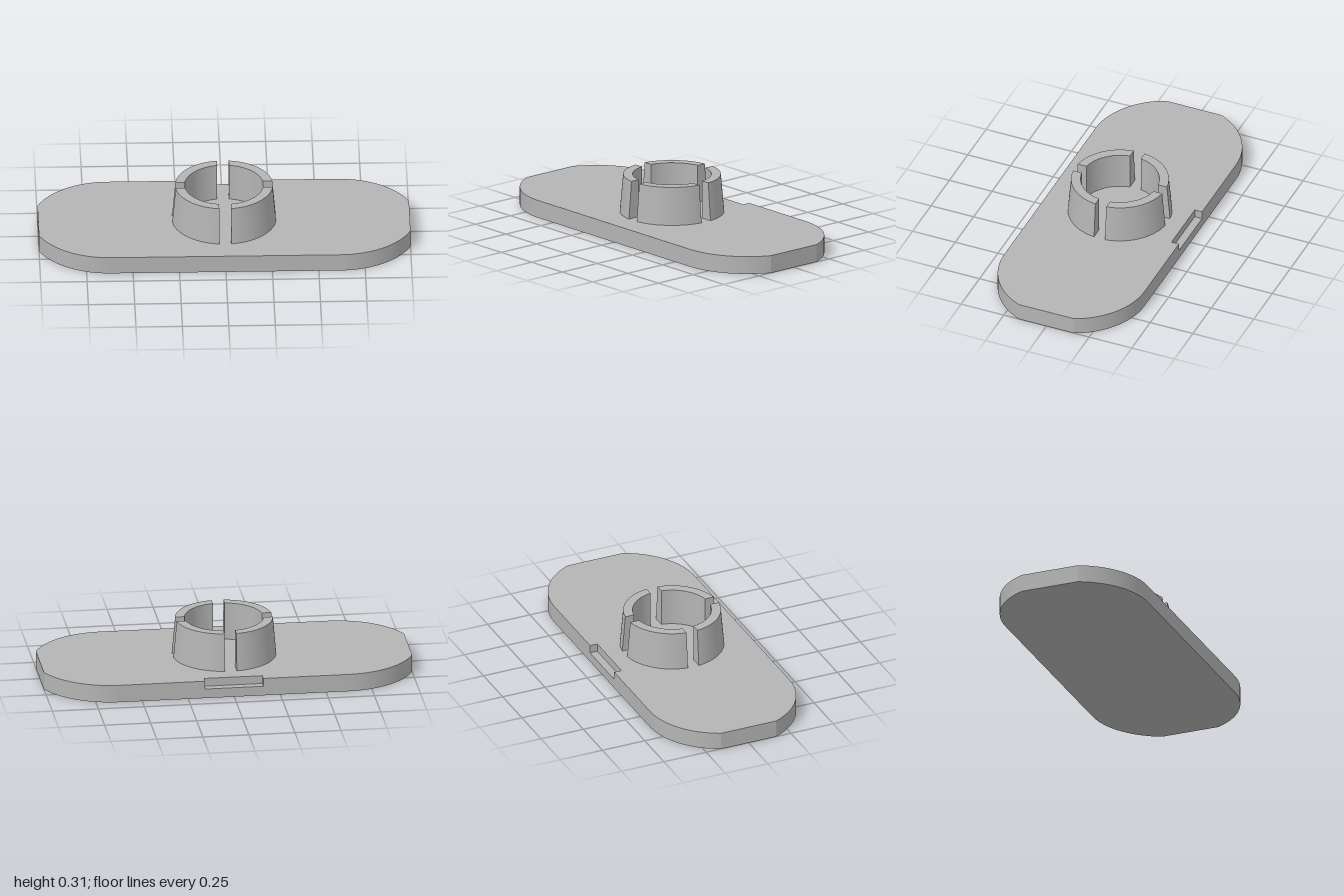
import * as THREE from 'three';
import { toCreasedNormals, mergeGeometries } from 'three/addons/utils/BufferGeometryUtils.js';

const HALF_DEPTH = 0.413, PLATE_TOP = 0.097, NOTCH_FLOOR = 0.052;
const ARC_X = 0.62, END_X = 1;
const RING_TOP = 0.305, INNER = 0.212, OUTER_LOW = 0.281, OUTER_HIGH = 0.263, SLOT = 0.032;

// Extrudes a plan shape upward from y0 to y1 (shape +y becomes -z, the back)
function slab(shape, y0, y1) {
  return new THREE.ExtrudeGeometry(shape, { depth: y1 - y0, bevelEnabled: false, curveSegments: 24 })
    .rotateX(-Math.PI / 2).translate(0, y0, 0);
}

// Long outline with rounded corners cut off flat at both ends
function plateShape(notched) {
  const s = new THREE.Shape();
  const a = Math.acos((END_X - ARC_X) / HALF_DEPTH);
  s.moveTo(-ARC_X, -HALF_DEPTH);
  s.lineTo(ARC_X, -HALF_DEPTH);
  s.absarc(ARC_X, 0, HALF_DEPTH, -Math.PI / 2, -a, false);
  s.absarc(ARC_X, 0, HALF_DEPTH, a, Math.PI / 2, false);
  if (notched) {
    s.lineTo(0.158, HALF_DEPTH);
    s.lineTo(0.158, 0.37);
    s.lineTo(-0.158, 0.37);
    s.lineTo(-0.158, HALF_DEPTH);
  }
  s.absarc(-ARC_X, 0, HALF_DEPTH, Math.PI / 2, Math.PI - a, false);
  s.absarc(-ARC_X, 0, HALF_DEPTH, Math.PI + a, Math.PI * 1.5, false);
  return s;
}

// One quarter of the collar, with parallel slot faces and a tapered outside
function collarQuarter() {
  const s = new THREE.Shape();
  const ao = Math.asin(SLOT / OUTER_LOW), ai = Math.asin(SLOT / INNER);
  s.absarc(0, 0, OUTER_LOW, ao, Math.PI / 2 - ao, false);
  s.absarc(0, 0, INNER, Math.PI / 2 - ai, ai, true);
  const g = slab(s, PLATE_TOP, RING_TOP);
  const p = g.attributes.position;
  const edge = Math.sqrt(OUTER_HIGH ** 2 - SLOT ** 2);
  for (let i = 0; i < p.count; i++) {
    const x = p.getX(i), z = -p.getZ(i), r = Math.hypot(x, z);
    if (p.getY(i) < RING_TOP - 0.01 || r < 0.25) continue;
    const k = OUTER_HIGH / r;
    if (x < SLOT + 1e-4) { p.setX(i, SLOT); p.setZ(i, -edge); }
    else if (z < SLOT + 1e-4) { p.setX(i, edge); p.setZ(i, -SLOT); }
    else { p.setX(i, x * k); p.setZ(i, -z * k); }
  }
  return toCreasedNormals(g, 0.5);
}

export function createModel() {
  const model = new THREE.Group();
  const grey = new THREE.MeshStandardMaterial({ color: 0xb4b4b4 });
  grey.name = 'plain grey';

  // Base plate: full lower layer, upper layer with a notch in the back edge
  const plate = new THREE.Mesh(toCreasedNormals(mergeGeometries([
    slab(plateShape(false), 0, NOTCH_FLOOR),
    slab(plateShape(true), NOTCH_FLOOR, PLATE_TOP),
  ]), 0.4), grey);
  plate.name = 'basePlate';
  model.add(plate);

  // Split collar
  const collar = new THREE.Group();
  collar.name = 'splitCollar';
  const quarter = collarQuarter();
  for (let i = 0; i < 4; i++) {
    const m = new THREE.Mesh(quarter, grey);
    m.name = 'collarQuarter' + (i + 1);
    m.rotation.y = i * Math.PI / 2;
    collar.add(m);
  }
  model.add(collar);
  return model;
}
